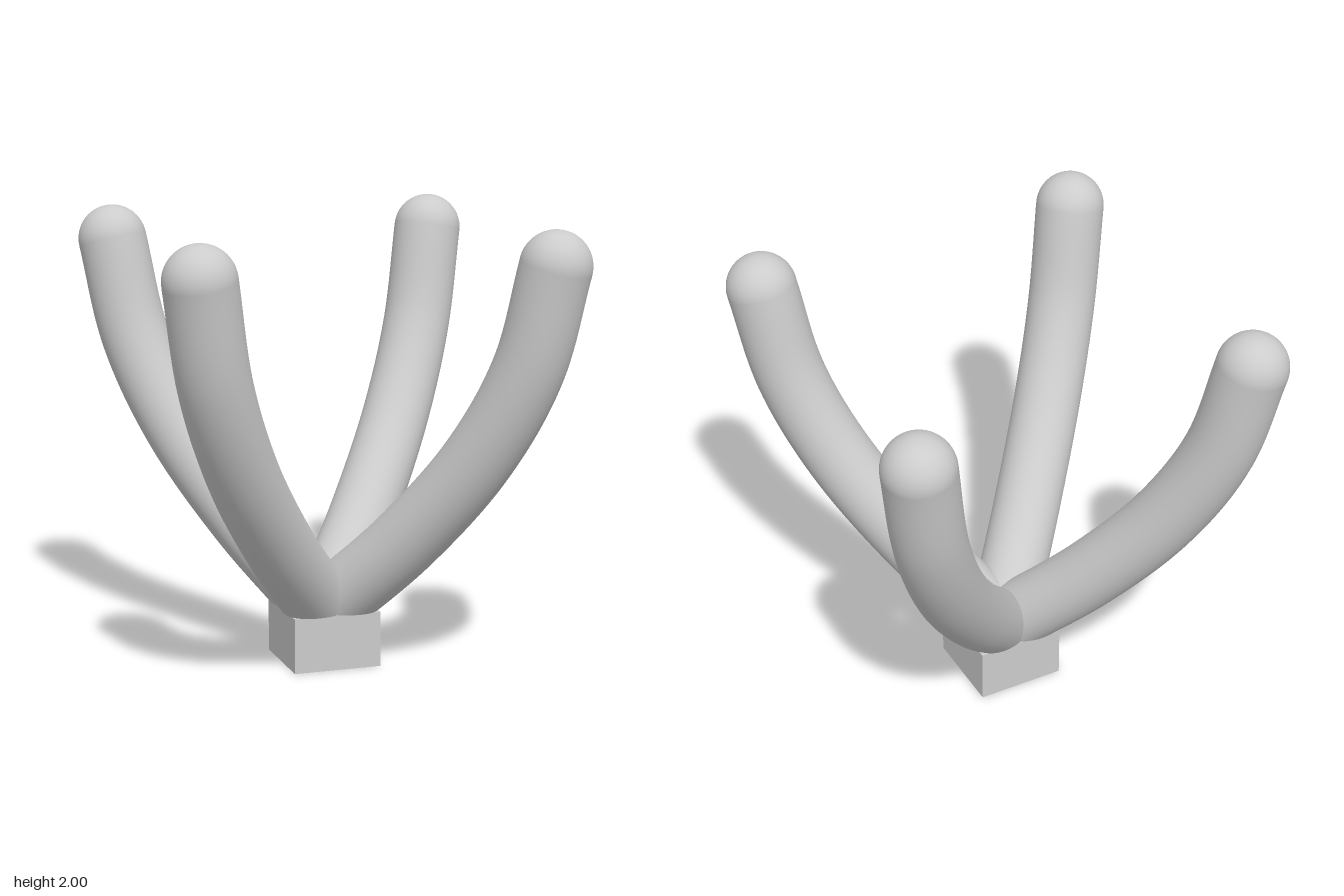
import * as THREE from 'three';

const R = 0.155;      // arm radius
const BASE_H = 0.25;  // height of the base block

// Curved arm, running out along the +x/+z diagonal; its foot is cut level with the block top.
function armGeometry(curve) {
  const segments = 48, sides = 40;
  const geo = new THREE.TubeGeometry(curve, segments, R, sides, false);
  const t = curve.getTangentAt(0);
  const pos = geo.attributes.position;
  for (let i = 0; i < pos.count; i++) {
    const y = pos.getY(i);
    if (i <= sides || y < BASE_H) {
      // slide the point along the arm's direction to the cutting plane
      const s = (BASE_H - y) / t.y;
      pos.setXYZ(i, pos.getX(i) + t.x * s, BASE_H, pos.getZ(i) + t.z * s);
    }
  }
  return geo;
}

export function createModel() {
  const group = new THREE.Group();
  const material = new THREE.MeshStandardMaterial({ color: 0xcccccc });

  const add = (parent, name, geometry) => {
    const mesh = new THREE.Mesh(geometry, material);
    mesh.name = name;
    parent.add(mesh);
    return mesh;
  };

  // Base block
  add(group, 'baseBlock', new THREE.BoxGeometry(0.4, BASE_H, 0.4)).position.y = BASE_H / 2;

  // Centre line of an arm: [distance along x and z, height]
  const points = [[0.02, 0.25], [0.29, 0.6], [0.53, 1.0], [0.685, 1.4], [0.767, 1.845]]
    .map(([d, y]) => new THREE.Vector3(d, y, d));
  const curve = new THREE.CatmullRomCurve3(points);
  const start = points[0], end = points[points.length - 1];

  const armGeo = armGeometry(curve);
  const tipGeo = new THREE.SphereGeometry(R, 40, 24).translate(end.x, end.y, end.z);
  // Elliptical underside closing the level cut
  const footGeo = new THREE.CircleGeometry(R, 40)
    .rotateX(Math.PI / 2)
    .scale(1 / curve.getTangentAt(0).y, 1, 1)
    .rotateY(-Math.PI / 4)
    .translate(start.x, start.y, start.z);

  // Four arms, one towards each corner
  ['frontLeftArm', 'backLeftArm', 'backRightArm', 'frontRightArm'].forEach((name, i) => {
    const arm = new THREE.Group();
    arm.name = name;
    add(arm, 'armTube', armGeo);
    add(arm, 'armTip', tipGeo);
    add(arm, 'armFoot', footGeo);
    arm.rotation.y = i * Math.PI / 2;
    group.add(arm);
  });

  return group;
}
